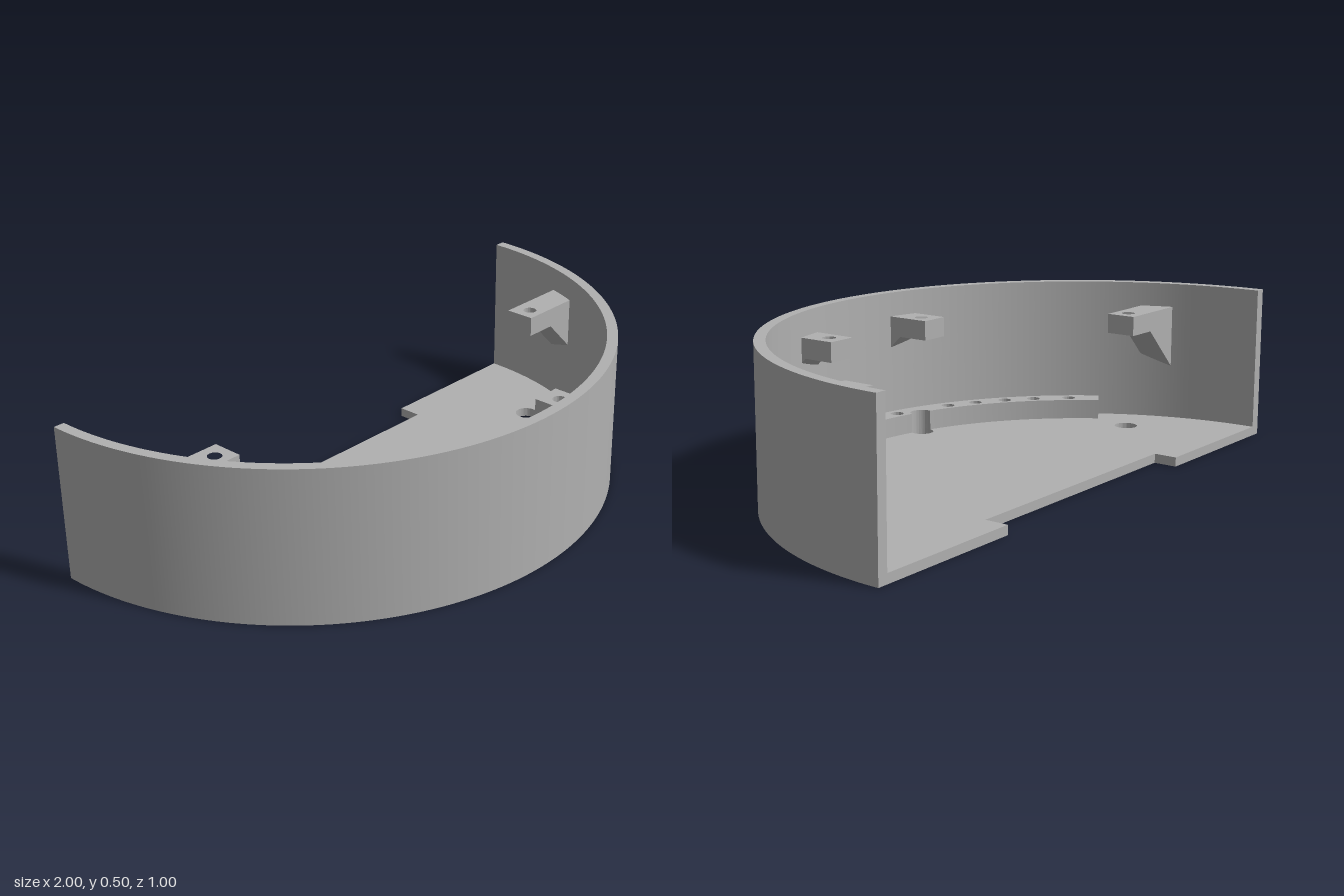
import * as THREE from 'three';
import { toCreasedNormals } from 'three/addons/utils/BufferGeometryUtils.js';
import { ConvexGeometry } from 'three/addons/geometries/ConvexGeometry.js';

const CENTRE_Z = -0.5;            // centre of the half circle
const OUTER = 1, INNER = 0.965, SHELF = 0.89;
const FLOOR_TOP = 0.03, ARM_TOP = 0.42, ARM_BOTTOM = 0.355;
const SMALL = 0.022, BIG = 0.038; // hole radii
const rad = THREE.MathUtils.degToRad;

// Plans are drawn as (x, distance in front of the arc centre)
const sideHole = [0.717, 0.353], frontHole = [0.228, 0.855];
const pinAngles = [39.5, 47.2, 53.6, 60.3, 66.8, 79.7];

export function createModel() {
  const group = new THREE.Group();
  const grey = new THREE.MeshStandardMaterial({ color: 0xb0b0b0 });
  grey.name = 'grey';

  const add = (name, geometry, parent = group) => {
    const mesh = new THREE.Mesh(geometry, grey);
    mesh.name = name;
    parent.add(mesh);
  };
  const hole = (shape, x, v, r) => {
    shape.holes.push(new THREE.Path().absarc(x, v, r, 0, Math.PI * 2, true));
  };
  // Raise a plan into a slab between two heights
  const slab = (shape, bottom, top, segments = 24) => {
    const g = new THREE.ExtrudeGeometry(shape, {
      depth: top - bottom, bevelEnabled: false, curveSegments: segments,
    });
    g.rotateX(Math.PI / 2).translate(0, top, CENTRE_Z);
    return toCreasedNormals(g, rad(30));
  };
  const polygon = (points) => new THREE.Shape(points.map(([x, v]) => new THREE.Vector2(x, v)));
  const pinHoles = (shape) => {
    for (const a of pinAngles) for (const s of [1, -1]) {
      hole(shape, s * 0.926 * Math.cos(rad(a)), 0.926 * Math.sin(rad(a)), SMALL);
    }
  };

  // Curved wall
  const wall = new THREE.Shape();
  wall.absarc(0, 0, OUTER, 0, Math.PI, false);
  wall.absarc(0, 0, INNER, Math.PI, 0, true);
  wall.closePath();
  add('curvedWall', slab(wall, 0, 0.5, 96));

  // Floor with a notch in its rear edge
  const floor = new THREE.Shape();
  floor.absarc(0, 0, INNER, 0, Math.PI, false);
  floor.lineTo(-0.452, 0);
  floor.lineTo(-0.452, 0.077);
  floor.lineTo(0.452, 0.077);
  floor.lineTo(0.452, 0);
  floor.closePath();
  pinHoles(floor);
  for (const s of [1, -1]) {
    hole(floor, s * sideHole[0], sideHole[1], BIG);
    hole(floor, s * frontHole[0], frontHole[1], BIG);
  }
  add('floor', slab(floor, 0, FLOOR_TOP, 96));

  // Perforated shelf; its inner edge is notched round the front floor holes
  const shelf = new THREE.Shape();
  const end = rad(33);
  const d = Math.hypot(...frontHole);
  const a = Math.atan2(frontHole[1], frontHole[0]);
  const half = Math.acos((SHELF ** 2 + d ** 2 - BIG ** 2) / (2 * SHELF * d));
  const open = Math.acos((SHELF ** 2 - d ** 2 - BIG ** 2) / (2 * d * BIG));
  shelf.absarc(0, 0, INNER, end, Math.PI - end, false);
  let from = Math.PI - end;
  for (const [s, angle] of [[-1, Math.PI - a], [1, a]]) {
    shelf.absarc(0, 0, SHELF, from, angle + half, true);
    shelf.absarc(s * frontHole[0], frontHole[1], BIG, angle + open, angle - open, true);
    from = angle - half;
  }
  shelf.absarc(0, 0, SHELF, from, end, true);
  shelf.closePath();
  pinHoles(shelf);
  add('perforatedShelf', slab(shelf, FLOOR_TOP, 0.095, 48));

  // Brackets: a drilled arm on a sloping gusset, mirrored left and right
  const bracket = (name, s, plan, centre, gusset) => {
    const part = new THREE.Group();
    part.name = name;
    const arm = polygon(plan.map(([x, v]) => [s * x, v]));
    hole(arm, s * centre[0], centre[1], SMALL);
    add('bracketArm', slab(arm, ARM_BOTTOM, ARM_TOP), part);
    const corners = gusset.map(([x, y, v]) => new THREE.Vector3(s * x, y, v + CENTRE_Z));
    add('bracketGusset', new ConvexGeometry(corners), part);
    group.add(part);
  };
  const B = ARM_BOTTOM;
  for (const [side, s] of [['left', 1], ['right', -1]]) {
    bracket(side + 'SideBracket', s,
      [[0.665, 0.3], [0.935, 0.3], [0.9, 0.4], [0.665, 0.4]], sideHole,
      [[0.775, B, 0.3], [0.935, B, 0.3], [0.935, B - 0.16, 0.3],
        [0.775, B, 0.4], [0.9, B, 0.4], [0.9, B - 0.125, 0.4]]);
    bracket(side + 'FrontBracket', s,
      [[0.18, 0.8], [0.28, 0.8], [0.28, 0.945], [0.18, 0.96]], frontHole,
      [[0.18, B, 0.908], [0.18, B, 0.96], [0.18, B - 0.052, 0.96],
        [0.28, B, 0.908], [0.28, B, 0.945], [0.28, B - 0.037, 0.945]]);
  }
  return group;
}
